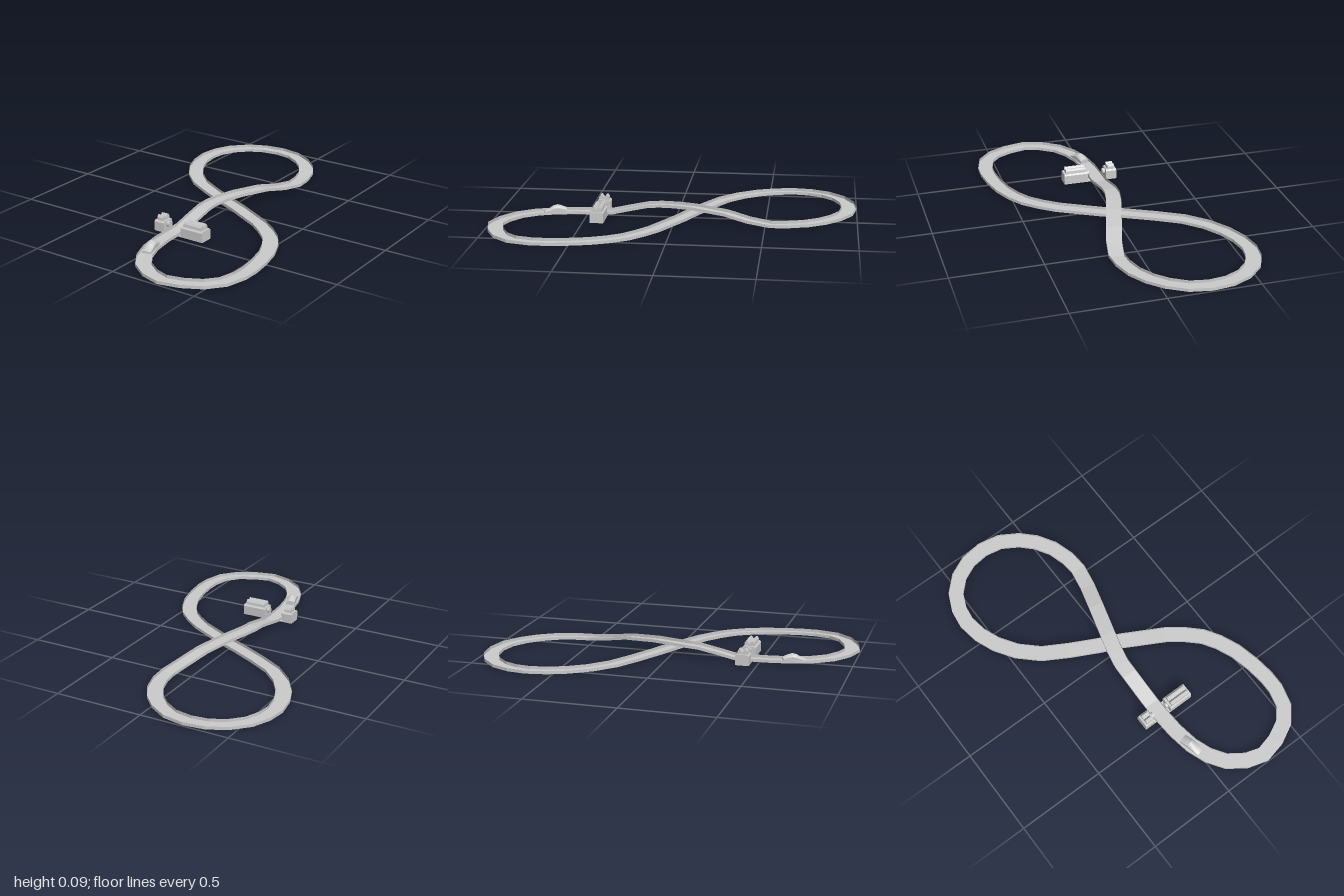
import * as THREE from 'three';

const grey = new THREE.MeshStandardMaterial({ color: 0xcccccc, flatShading: true });
const thin = new THREE.MeshStandardMaterial({ color: 0xcccccc, flatShading: true, side: THREE.DoubleSide });

// Centreline of the circuit as [x, z, lift]
const course = [
  [-0.243, -0.958, 0], [-0.135, -0.938, 0], [-0.04, -0.88, 0], [0.03, -0.81, 0], [0.085, -0.72, 0],
  [0.115, -0.62, 0], [0.123, -0.53, 0], [0.1, -0.41, 0.014], [0.062, -0.28, 0.04], [0.01, -0.1, 0.053],
  [-0.018, 0.0, 0.053], [-0.035, 0.09, 0.05], [-0.036, 0.16, 0.045], [-0.035, 0.27, 0.022], [-0.033, 0.36, 0.002],
  [-0.032, 0.43, 0], [-0.025, 0.56, 0], [-0.005, 0.68, 0], [0.032, 0.78, 0], [0.09, 0.865, 0],
  [0.18, 0.928, 0], [0.275, 0.957, 0], [0.38, 0.933, 0], [0.475, 0.885, 0], [0.54, 0.81, 0],
  [0.567, 0.705, 0], [0.568, 0.62, 0], [0.555, 0.515, 0], [0.528, 0.4, 0], [0.485, 0.3, 0],
  [0.435, 0.222, 0], [0.365, 0.155, 0], [0.28, 0.09, 0], [0.06, -0.03, 0], [-0.06, -0.085, 0],
  [-0.21, -0.162, 0], [-0.345, -0.24, 0], [-0.445, -0.335, 0], [-0.515, -0.44, 0], [-0.555, -0.54, 0],
  [-0.572, -0.645, 0], [-0.56, -0.735, 0], [-0.52, -0.825, 0], [-0.445, -0.9, 0], [-0.35, -0.945, 0],
];

// Shallow channel swept round the closed course
function trackGeometry() {
  const half = 0.042;
  const section = [[-half, 0.021], [-half, 0.004], [half, 0.004], [half, 0.021]];
  const n = course.length;
  const rings = course.map(([x, z, lift], i) => {
    const a = course[(i + n - 1) % n], b = course[(i + 1) % n];
    const d = new THREE.Vector2(b[0] - a[0], b[1] - a[1]).normalize();
    return section.map(([o, y]) => [x - d.y * o, y + lift, z + d.x * o]);
  });
  const pos = [];
  rings.forEach((r, i) => {
    const s = rings[(i + 1) % n];
    for (let k = 0; k < section.length - 1; k++) {
      pos.push(...r[k], ...s[k], ...s[k + 1], ...r[k], ...s[k + 1], ...r[k + 1]);
    }
  });
  const g = new THREE.BufferGeometry();
  g.setAttribute('position', new THREE.Float32BufferAttribute(pos, 3));
  g.computeVertexNormals();
  return g;
}

// Extrudes a [z, y] profile along x, centred on x = 0
function alongX(profile, width, steps = 1) {
  const shape = new THREE.Shape(profile.map(([z, y]) => new THREE.Vector2(z, y)));
  const g = new THREE.ExtrudeGeometry(shape, { depth: width, steps, bevelEnabled: false });
  return g.translate(0, 0, -width / 2).rotateY(-Math.PI / 2);
}

function add(parent, name, geometry, x, y, z, material = grey) {
  const m = new THREE.Mesh(geometry, material);
  m.name = name;
  m.position.set(x, y, z);
  parent.add(m);
  return m;
}

// Trackside block with a double-ridged top and a round stub facing the track
function tower(name, x0, x1, inset, stubX) {
  const g = new THREE.Group();
  g.name = name;
  const w = x1 - x0, cx = (x0 + x1) / 2;
  add(g, name + 'Body', new THREE.BoxGeometry(w, 0.052, 0.076), cx, 0.026, 0);
  const shoulder = [[-0.038, 0.052], [0.038, 0.052], [0.031, 0.06], [-0.031, 0.06]];
  add(g, name + 'Shoulder', alongX(shoulder, w), cx, 0, 0);
  const ridges = [[-0.029, 0.06], [0.029, 0.06], [0.027, 0.076], [0.02, 0.087], [0.012, 0.087],
    [0, 0.07], [-0.012, 0.087], [-0.02, 0.087], [-0.027, 0.076]];
  add(g, name + 'Ridges', alongX(ridges, w - 2 * inset), cx, 0, 0);
  const stub = new THREE.CylinderGeometry(0.016, 0.016, 0.02, 12).rotateZ(Math.PI / 2);
  add(g, name + 'Stub', stub, stubX, 0.04, 0);
  g.position.z = 0.422;
  return g;
}

export function createModel() {
  const model = new THREE.Group();
  model.name = 'raceTrack';

  add(model, 'track', trackGeometry(), 0, 0, 0, thin);

  // Plate under the track joining the two towers
  add(model, 'basePlate', new THREE.BoxGeometry(0.31, 0.004, 0.076), 0.01, 0.002, 0.422);
  model.add(tower('largeTower', 0.024, 0.164, 0.012, 0.02));
  model.add(tower('smallTower', -0.147, -0.086, 0.011, -0.08));

  // Wedge-shaped car with a crowned top
  const profile = [[-0.062, 0], [0.062, 0], [0.062, 0.012], [0.035, 0.023], [0.012, 0.038],
    [-0.012, 0.044], [-0.035, 0.037], [-0.062, 0.025]];
  const body = alongX(profile, 0.05, 6);
  const p = body.attributes.position;
  for (let i = 0; i < p.count; i++) p.setY(i, p.getY(i) * (1 - 0.35 * (p.getX(i) / 0.025) ** 2));
  body.computeVertexNormals();
  add(model, 'car', body, -0.004, 0.007, 0.682).rotation.y = 0.26;

  return model;
}
